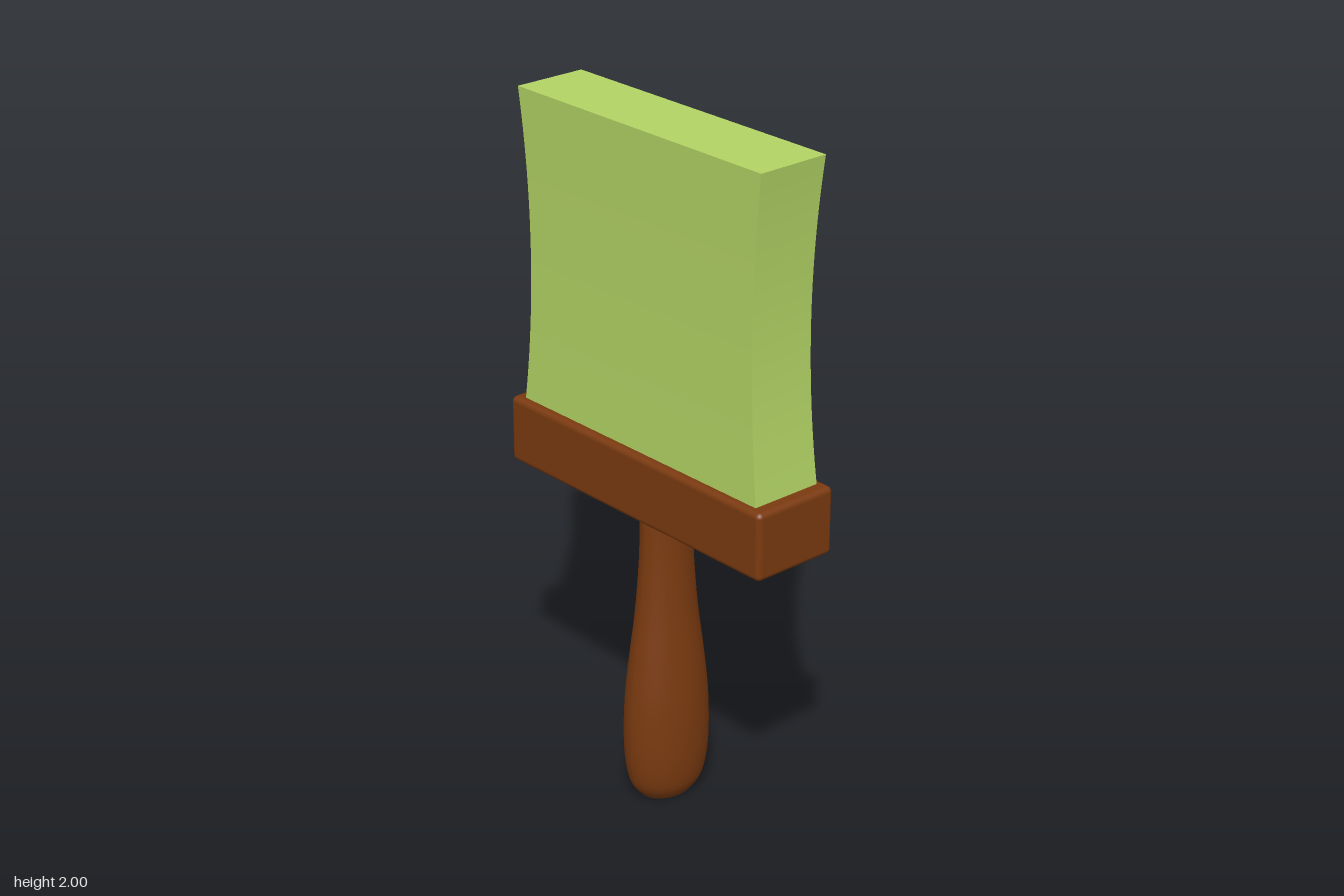
import * as THREE from 'three';
import { RoundedBoxGeometry } from 'three/addons/geometries/RoundedBoxGeometry.js';

export function createModel() {
  const model = new THREE.Group();
  const wood = new THREE.MeshStandardMaterial({ color: 0x7a3a10 });
  const green = new THREE.MeshStandardMaterial({ color: 0xb2d364 });

  const add = (name, geometry, material) => {
    const mesh = new THREE.Mesh(geometry, material);
    mesh.name = name;
    model.add(mesh);
    return mesh;
  };

  // Handle: a turned grip, oval in section (deeper than wide)
  const grip = new THREE.SplineCurve([
    [0.06, 0.005], [0.084, 0.045], [0.096, 0.11], [0.1, 0.2], [0.097, 0.32],
    [0.086, 0.45], [0.073, 0.58], [0.064, 0.72], [0.061, 0.82], [0.061, 0.92],
  ].map(([r, y]) => new THREE.Vector2(r, y)));
  const profile = [new THREE.Vector2(0, 0), new THREE.Vector2(0.052, 0), ...grip.getPoints(40)];
  const handle = new THREE.LatheGeometry(profile, 48);
  handle.scale(1, 1, 1.35);
  handle.computeVertexNormals();
  add('handle', handle, wood);

  // Crossbar that holds the bristles
  const bar = new RoundedBoxGeometry(1.014, 0.196, 0.266, 4, 0.016);
  bar.translate(0, 1, 0);
  add('crossbar', bar, wood);

  // Bristle block: waisted halfway up, flared at both ends
  const height = 0.92;
  const bristles = new THREE.BoxGeometry(0.94, height, 0.219, 1, 24, 1);
  const pos = bristles.attributes.position;
  for (let i = 0; i < pos.count; i++) {
    const t = pos.getY(i) / (height / 2);
    const waist = 1 - 0.065 * (1 - t * t);
    pos.setX(i, pos.getX(i) * waist);
    pos.setZ(i, pos.getZ(i) * waist);
  }
  bristles.computeVertexNormals();
  bristles.translate(0, 2 - height / 2, 0);
  add('bristles', bristles, green);

  return model;
}
